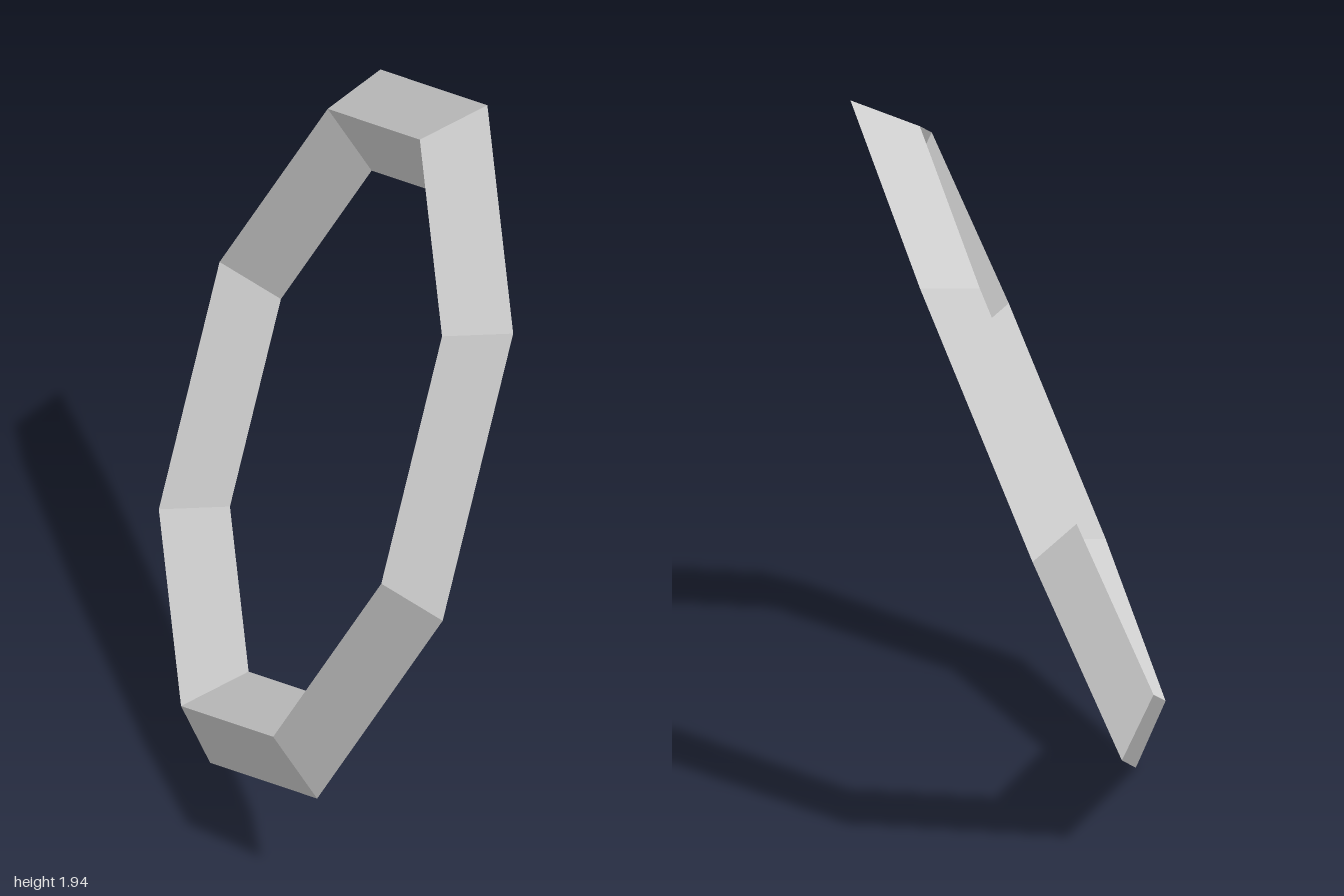
import * as THREE from 'three';

export function createModel() {
  const model = new THREE.Group();
  const material = new THREE.MeshStandardMaterial({
    color: 0xcccccc, flatShading: true, side: THREE.DoubleSide,
  });

  // Ridged band, open on its underside, turned into an eight-sided ring
  const radius = 0.9, ridge = 0.145;
  const profile = [
    new THREE.Vector2(radius + ridge, 0),
    new THREE.Vector2(radius, ridge),
    new THREE.Vector2(radius - ridge, 0),
  ];
  const ring = new THREE.Mesh(new THREE.LatheGeometry(profile, 8), material);
  ring.name = 'octagonalRing';

  // Tilt: one corner points along cornerDir, the ridge faces along the axis
  const cornerDir = new THREE.Vector3(0.37, 0.97, -0.12).normalize();
  const sideDir = new THREE.Vector3(0.3, 0.02, 1.0);
  sideDir.addScaledVector(cornerDir, -sideDir.dot(cornerDir)).normalize();
  const axis = new THREE.Vector3().crossVectors(sideDir, cornerDir);
  ring.quaternion.setFromRotationMatrix(
    new THREE.Matrix4().makeBasis(cornerDir, axis, sideDir));
  ring.position.set(0.03, 0.97, 0);

  model.add(ring);
  return model;
}
